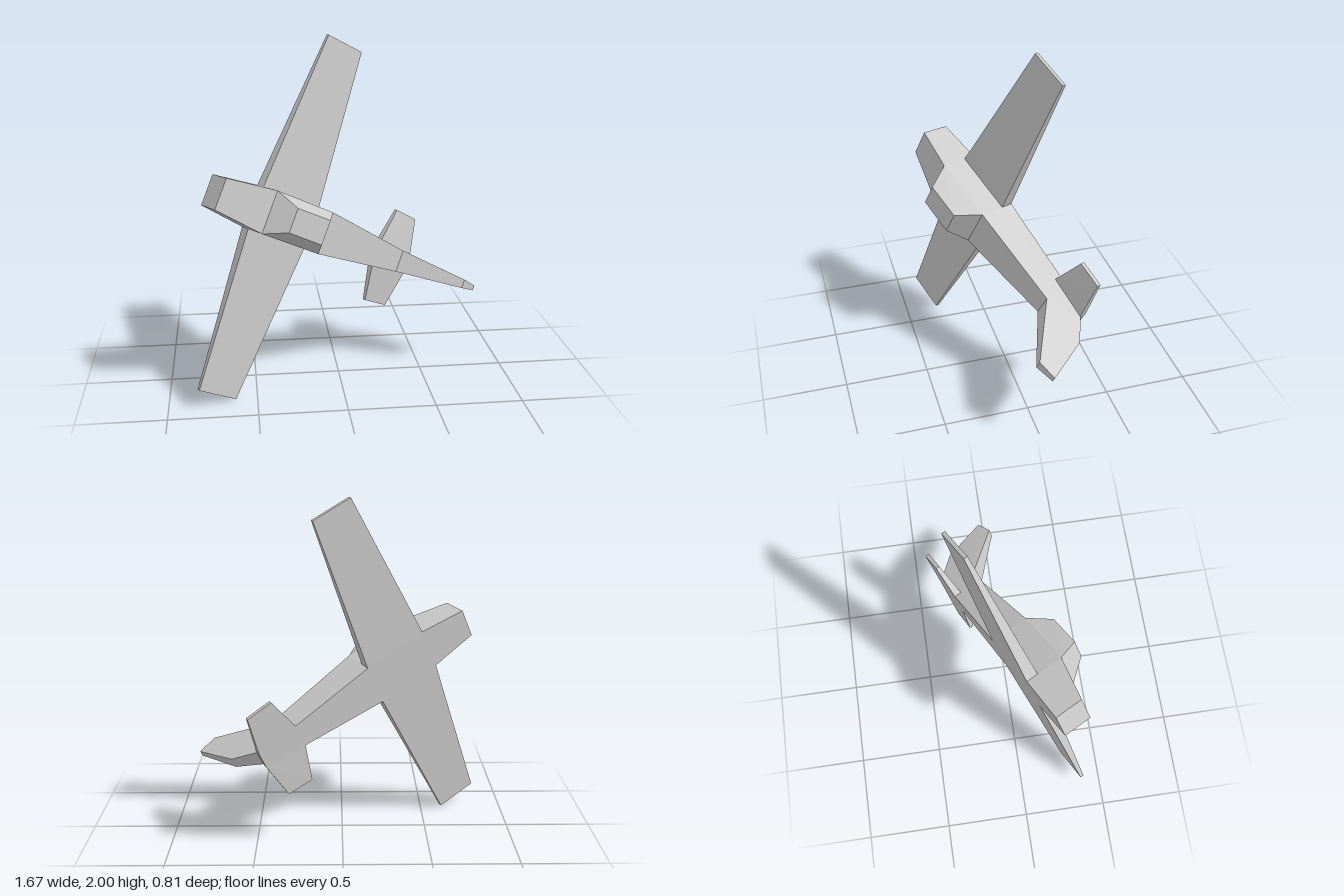
import * as THREE from 'three';
import { ConvexGeometry } from 'three/addons/geometries/ConvexGeometry.js';

const material = new THREE.MeshStandardMaterial({ color: 0xcccccc, flatShading: true });

// Convex faceted solid from corner points [x, y, z]
function solid(name, points) {
  const geometry = new ConvexGeometry(points.map((p) => new THREE.Vector3(...p)));
  const mesh = new THREE.Mesh(geometry, material);
  mesh.name = name;
  return mesh;
}

// Mirror half-profile points across the centre plane
const mirror = (points) => points.flatMap(([x, y, z]) => [[x, y, z], [-x, y, z]]);

// Tapered panel: root and tip each as front/back [x, z], with bottom and top heights
function panel(name, side, root, tip) {
  const corners = ({ front, back, low, high }) =>
    [front, back].flatMap(([x, z]) => [[side * x, low, z], [side * x, high, z]]);
  return solid(name, [...corners(root), ...corners(tip)]);
}

export function createModel() {
  // Aircraft frame: x = its left, y = its up, z = its nose
  const plane = new THREE.Group();
  plane.name = 'aircraft';

  // Fuselage stations: half-width corners, top then bottom
  const stations = [
    [[0.09, 0.115, 1.226], [0.09, -0.054, 1.226]],
    [[0.125, 0.177, 0.94], [0.125, -0.055, 0.94]],
    [[0.125, 0.174, 0.547], [0.125, -0.055, 0.547]],
    [[0.067, 0.124, -0.063], [0.073, -0.055, 0.02]],
    [[0.03, 0.095, -0.365], [0.045, -0.015, -0.237]],
  ];
  ['nose', 'cabin', 'rearFuselage', 'tailCone'].forEach((name, i) => {
    plane.add(solid(name, mirror([...stations[i], ...stations[i + 1]])));
  });

  // Canopy on the cabin roof
  plane.add(solid('canopy', mirror([
    [0.125, 0.177, 0.94], [0.07, 0.304, 0.858],
    [0.072, 0.303, 0.632], [0.125, 0.174, 0.547],
  ])));

  // Wings and tailplane halves
  for (const side of [1, -1]) {
    const label = side > 0 ? 'left' : 'right';
    plane.add(panel(label + 'Wing', side,
      { front: [0.125, 0.94], back: [0.125, 0.547], low: -0.055, high: 0.018 },
      { front: [1.064, 0.865], back: [1.064, 0.617], low: -0.03, high: -0.008 }));
    plane.add(panel(label + 'Tailplane', side,
      { front: [0.073, 0.02], back: [0.045, -0.237], low: -0.055, high: -0.01 },
      { front: [0.295, -0.04], back: [0.285, -0.2], low: -0.062, high: -0.038 }));
  }

  // Centre block joining the tailplane halves
  plane.add(solid('tailplaneCentre', mirror([
    [0.073, -0.055, 0.02], [0.073, -0.01, 0.02],
    [0.045, -0.055, -0.237], [0.045, -0.01, -0.237],
  ])));

  // Swept fin
  plane.add(solid('fin', mirror([
    [0.067, 0.124, -0.063], [0.03, 0.095, -0.365],
    [0.026, 0.401, -0.358], [0.016, 0.376, -0.472],
  ])));

  // Banked, climbing attitude
  const left = new THREE.Vector3(-0.371, -0.888, 0.27).normalize();
  const up = new THREE.Vector3(0.447, 0.084, 0.892).normalize();
  const forward = new THREE.Vector3().crossVectors(left, up).normalize();
  plane.quaternion.setFromRotationMatrix(new THREE.Matrix4().makeBasis(left, up, forward));
  plane.position.copy(left).multiplyScalar(-0.75);

  const model = new THREE.Group();
  model.name = 'model';
  model.add(plane);
  return model;
}
